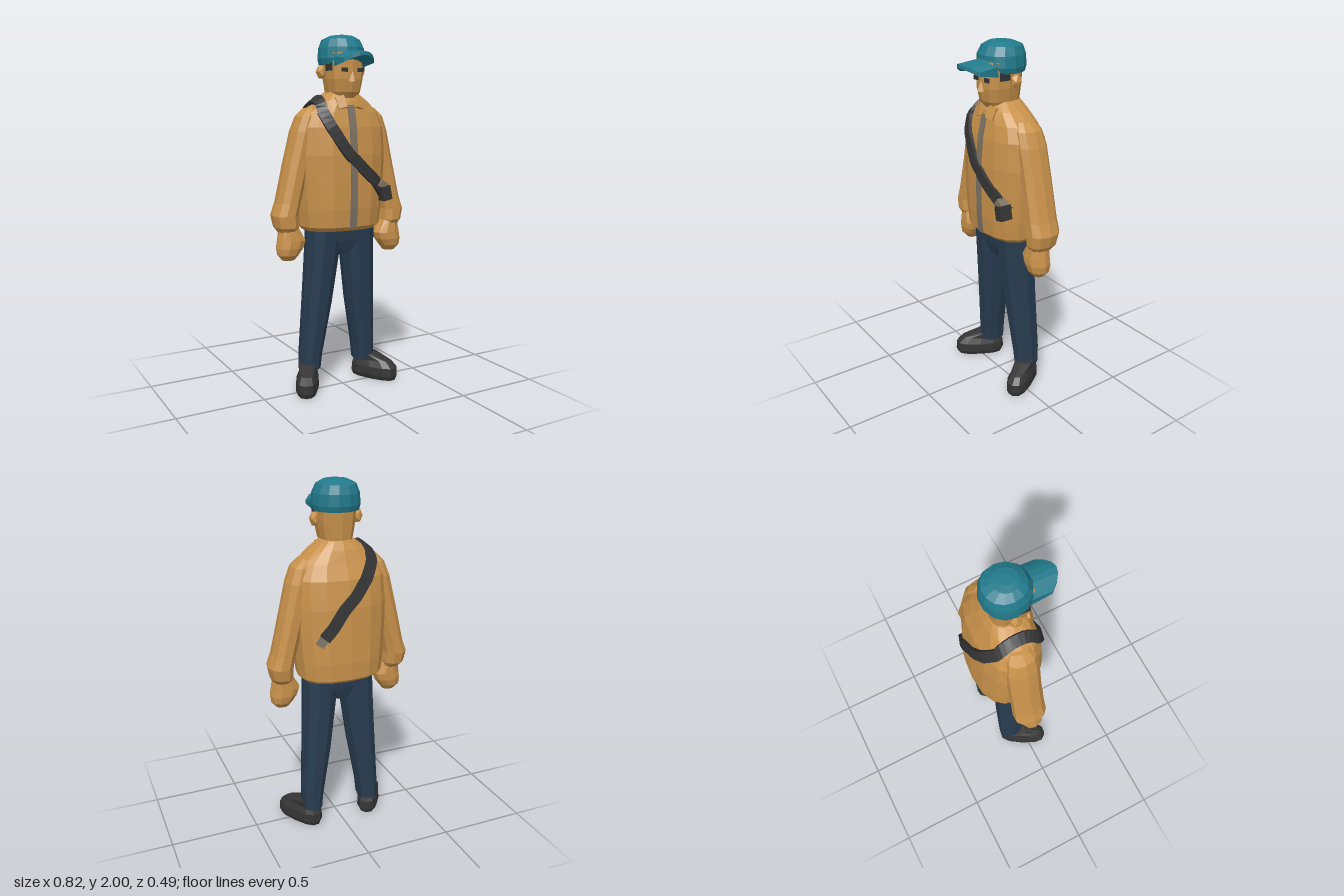
import * as THREE from 'three';

const paint = (name, color) => {
  const m = new THREE.MeshStandardMaterial({ color, flatShading: true });
  m.name = name;
  return m;
};

// Jacket body sections: [y, halfWidth, frontZ, backZ]
const BODY = [
  [0.925, 0.215, 0.09, -0.2], [0.95, 0.24, 0.12, -0.235], [1.05, 0.25, 0.13, -0.238],
  [1.2, 0.26, 0.132, -0.23], [1.35, 0.268, 0.132, -0.222], [1.5, 0.262, 0.118, -0.2],
  [1.58, 0.225, 0.1, -0.165], [1.645, 0.15, 0.085, -0.14], [1.69, 0.09, 0.06, -0.115],
];

// Point on a rounded-square ring
function ringPoint(cx, y, cz, rx, rz, a, p = 2.5) {
  const f = (v) => Math.sign(v) * Math.abs(v) ** (2 / p);
  return new THREE.Vector3(cx + rx * f(Math.cos(a)), y, cz + rz * f(Math.sin(a)));
}

// Closed solid through rings given bottom to top: [y, cx, cz, rx, rz]
function loft(rings, sides = 10, p = 2.3) {
  const pos = [], idx = [], n = rings.length;
  for (const [y, cx, cz, rx, rz] of rings)
    for (let i = 0; i < sides; i++)
      pos.push(...ringPoint(cx, y, cz, rx, rz, (i / sides) * Math.PI * 2, p).toArray());
  for (const r of [rings[0], rings[n - 1]]) pos.push(r[1], r[0], r[2]);
  const bottom = n * sides, top = bottom + 1, last = (n - 1) * sides;
  for (let i = 0; i < sides; i++) {
    const j = (i + 1) % sides;
    for (let k = 0; k < n - 1; k++) {
      const a = k * sides + i, b = k * sides + j, c = b + sides, d = a + sides;
      if ((i + k) % 2) idx.push(a, d, c, a, c, b);
      else idx.push(a, d, b, b, d, c);
    }
    idx.push(bottom, i, j, top, last + j, last + i);
  }
  return indexed(pos, idx);
}

function indexed(pos, idx) {
  const g = new THREE.BufferGeometry();
  g.setAttribute('position', new THREE.Float32BufferAttribute(pos, 3));
  g.setIndex(idx);
  g.computeVertexNormals();
  return g;
}

// Rings given by front and back z: [y, halfWidth, frontZ, backZ]
const span = (rows) => rows.map(([y, w, f, b]) => [y, 0, (f + b) / 2, w, (f - b) / 2]);

// Jacket surface at a height and an angle in degrees (0 = left side, 90 = front)
function bodyPoint(y, deg) {
  let k = 0;
  while (k < BODY.length - 2 && y > BODY[k + 1][0]) k++;
  const A = BODY[k], B = BODY[k + 1], t = (y - A[0]) / (B[0] - A[0]);
  const [w, f, b] = [1, 2, 3].map((i) => THREE.MathUtils.lerp(A[i], B[i], t));
  return ringPoint(0, y, (f + b) / 2, w, (f - b) / 2, THREE.MathUtils.degToRad(deg));
}

// Band lying on the jacket along points [y, degrees]
function band(points, width, lift, steps) {
  const curve = new THREE.CatmullRomCurve3(points.map(([y, d]) => new THREE.Vector3(y, d / 100, 0)));
  const path = curve.getPoints(steps).map((q) => {
    const y = q.x, d = q.y * 100, p = bodyPoint(y, d);
    const across = bodyPoint(y, d + 4).sub(bodyPoint(y, d - 4));
    const up = bodyPoint(y + 0.02, d).sub(bodyPoint(y - 0.02, d));
    return { p, n: up.cross(across).normalize().negate() };
  });
  const pos = [], idx = [];
  path.forEach(({ p, n }, i) => {
    const t = path[Math.min(i + 1, steps)].p.clone().sub(path[Math.max(i - 1, 0)].p).normalize();
    if (n.dot(new THREE.Vector3(p.x, 0, p.z + 0.05)) < 0) n.negate();
    const s = n.clone().cross(t).normalize().multiplyScalar(width / 2);
    for (const [side, h] of [[-1, -0.015], [-1, lift], [1, lift], [1, -0.015]])
      pos.push(...p.clone().addScaledVector(s, side).addScaledVector(n, h).toArray());
    if (i < steps)
      for (let k = 0; k < 4; k++) {
        const a = i * 4 + k, b = i * 4 + ((k + 1) % 4);
        idx.push(a, b, b + 4, a, b + 4, a + 4);
      }
  });
  idx.push(0, 2, 1, 0, 3, 2);
  const e = steps * 4;
  idx.push(e, e + 1, e + 2, e, e + 2, e + 3);
  return indexed(pos, idx);
}

export function createModel() {
  const model = new THREE.Group();
  const tan = paint('tan', 0xc9924b), teal = paint('teal', 0x217a8c);
  const navy = paint('navy', 0x283c50), black = paint('charcoal', 0x353535);
  const grey = paint('zipGrey', 0x7d7364);
  black.side = grey.side = THREE.DoubleSide;

  const add = (name, geo, mat, x = 0, y = 0, z = 0) => {
    const m = new THREE.Mesh(geo, mat);
    m.name = name;
    m.position.set(x, y, z);
    model.add(m);
    return m;
  };
  const box = (w, h, d) => new THREE.BoxGeometry(w, h, d);

  // Jacket with zip
  add('jacketBody', loft(span(BODY), 16, 2.5), tan);
  add('zip', band([[1.62, 90], [1.4, 90], [1.2, 90], [0.95, 90]], 0.042, 0.005, 14), grey);

  // Strap across the chest, over the right shoulder and down the back
  add('strap', band([[1.13, 42], [1.2, 62], [1.28, 83], [1.37, 96], [1.5, 114], [1.6, 138],
    [1.645, 180], [1.6, 225], [1.5, 252], [1.38, 270], [1.26, 286], [1.2, 298]], 0.062, 0.016, 44), black);
  add('strapEndBack', band([[1.2, 298], [1.18, 302], [1.16, 306]], 0.05, 0.006, 4), grey);
  add('buckle', box(0.05, 0.04, 0.05), grey, 0.19, 1.175, 0.115).rotation.z = -0.6;
  add('strapPouch', box(0.055, 0.08, 0.07), black, 0.205, 1.13, 0.115).rotation.z = 0.2;

  // Head, nose, cap
  add('head', loft(span([[1.6, 0.07, 0.05, -0.1], [1.66, 0.07, 0.08, -0.105], [1.69, 0.085, 0.1, -0.11],
    [1.76, 0.098, 0.113, -0.115], [1.9, 0.108, 0.113, -0.125]]), 12, 2.7), tan);
  add('nose', new THREE.ConeGeometry(0.025, 0.06, 4), tan, 0, 1.775, 0.112);
  add('capCrown', loft(span([[1.84, 0.122, 0.1, -0.138], [1.87, 0.13, 0.112, -0.147],
    [1.93, 0.124, 0.11, -0.145], [1.975, 0.105, 0.085, -0.13], [1.995, 0.065, 0.05, -0.08],
    [2.0, 0.03, 0.02, -0.04]]), 14, 2.1), teal);

  // Cap brim, drooping at the sides and thinning toward the tip
  const brim = new THREE.BoxGeometry(2, 2, 1, 6, 1, 4), v = brim.attributes.position;
  for (let i = 0; i < v.count; i++) {
    const u = v.getX(i), s = v.getY(i), t = v.getZ(i) + 0.5;
    v.setXYZ(i, u * 0.092, 1.888 + s * (0.03 - 0.02 * t) - 0.035 * u * u,
      0.05 + t * (0.195 - 0.065 * u * u));
  }
  brim.computeVertexNormals();
  add('capBrim', brim, teal);

  // Hips under the jacket
  add('hips', loft([[0.79, 0, -0.04, 0.05, 0.08], [0.86, 0, -0.04, 0.18, 0.1],
    [0.96, 0, -0.04, 0.2, 0.11]]), navy);

  for (const [side, s] of [['left', 1], ['right', -1]]) {
    const limb = (rows) => loft(rows.map(([y, x, ...r]) => [y, s * x, ...r]));

    // Sleeve with a puffed cuff, and hand
    add(side + 'Sleeve', limb([[0.925, 0.33, -0.04, 0.05, 0.06], [0.955, 0.335, -0.045, 0.064, 0.088],
      [1.02, 0.342, -0.05, 0.07, 0.095], [1.09, 0.322, -0.05, 0.064, 0.092], [1.3, 0.27, -0.05, 0.068, 0.09],
      [1.48, 0.228, -0.045, 0.066, 0.09], [1.56, 0.205, -0.04, 0.058, 0.08],
      [1.605, 0.18, -0.04, 0.035, 0.055]]), tan);
    add(side + 'Hand', limb([[0.77, 0.33, -0.03, 0.035, 0.03], [0.8, 0.332, -0.03, 0.06, 0.055],
      [0.84, 0.32, -0.03, 0.078, 0.065], [0.88, 0.31, -0.03, 0.082, 0.065],
      [0.96, 0.325, -0.035, 0.05, 0.06]]), tan);

    // Trouser leg
    add(side + 'Leg', limb([[0.11, 0.178, -0.078, 0.058, 0.074], [0.2, 0.174, -0.075, 0.063, 0.079],
      [0.5, 0.14, -0.06, 0.083, 0.091], [0.78, 0.115, -0.045, 0.096, 0.101],
      [0.95, 0.105, -0.038, 0.1, 0.108]]), navy);

    // Shoe with the toe turned out
    const shoe = loft([[0, 0, 0, 0.055, 0.14], [0.025, 0, 0, 0.066, 0.15], [0.075, 0, 0, 0.064, 0.147],
      [0.11, 0, -0.01, 0.05, 0.12], [0.145, 0, -0.06, 0.055, 0.07]], 12, 2.6);
    add(side + 'Shoe', shoe, black, s * 0.225, 0, -0.012).rotation.y = s * 0.52;

    // Ear, eye, sideburn and collar flap
    add(side + 'Ear', new THREE.IcosahedronGeometry(1, 0), tan, s * 0.122, 1.8, -0.025)
      .scale.set(0.028, 0.042, 0.034);
    add(side + 'Eye', box(0.035, 0.022, 0.009), black, s * 0.05, 1.808, 0.11);
    add(side + 'Sideburn', box(0.009, 0.04, 0.06), black, s * 0.101, 1.825, 0.03);
    const flap = add(side + 'Collar', box(0.05, 0.07, 0.02), tan, s * 0.055, 1.635, 0.083);
    flap.rotation.set(-0.35, s * 0.3, s * -0.15);
  }
  return model;
}
